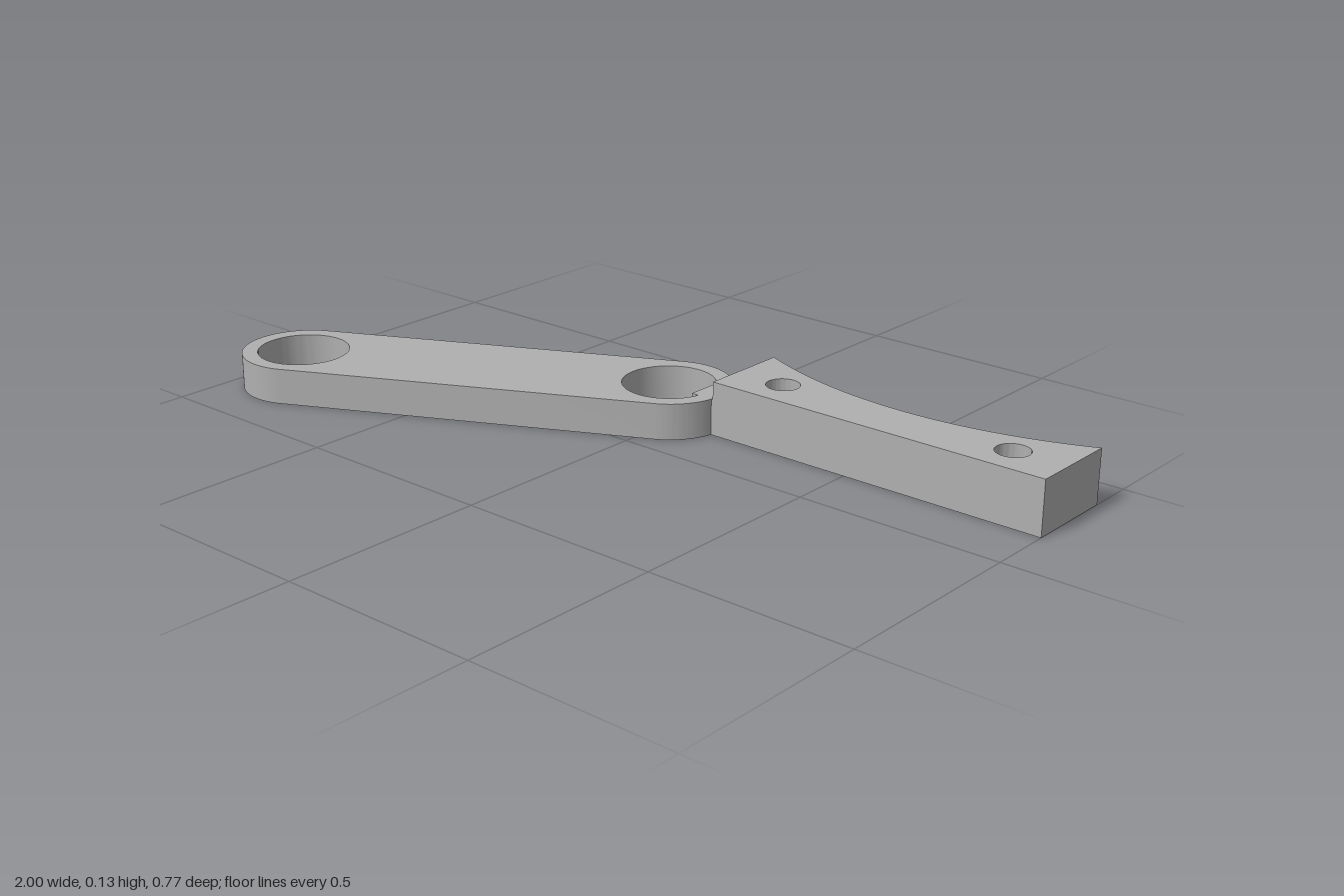
import * as THREE from 'three';
import { toCreasedNormals } from 'three/addons/utils/BufferGeometryUtils.js';

// Outlines are drawn in plan: shape x = model x, shape y = -z (towards the back).
function plate(name, shape, height, material) {
  const geometry = new THREE.ExtrudeGeometry(shape, { depth: height, bevelEnabled: false, curveSegments: 40 });
  geometry.rotateX(-Math.PI / 2);
  const mesh = new THREE.Mesh(toCreasedNormals(geometry, 0.5), material);
  mesh.name = name;
  return mesh;
}

function addHole(shape, x, y, radius) {
  shape.holes.push(new THREE.Path().absarc(x, y, radius, 0, Math.PI * 2, true));
}

export function createModel() {
  const group = new THREE.Group();
  group.name = 'linkAndBracket';
  const grey = new THREE.MeshStandardMaterial({ color: 0xb0b0b0 });
  grey.name = 'grey';
  const linkHeight = 0.088;

  // Round-ended link arm with a large bore at each end
  const a = new THREE.Vector2(-0.85, -0.236);
  const b = new THREE.Vector2(-0.025, 0.182);
  const angle = Math.atan2(b.y - a.y, b.x - a.x);
  const link = new THREE.Shape();
  link.absarc(b.x, b.y, 0.15, angle - Math.PI / 2, angle + Math.PI / 2, false);
  link.absarc(a.x, a.y, 0.15, angle + Math.PI / 2, angle + Math.PI * 1.5, false);
  link.closePath();
  for (const end of [a, b]) addHole(link, end.x, end.y, 0.112);
  group.add(plate('linkArm', link, linkHeight, grey));

  // Thicker bracket with a concave back and two bolt holes
  const left = 0.127, right = 1, front = 0.158, back = 0.387, sag = 0.097;
  const half = (right - left) / 2;
  const radius = (half * half + sag * sag) / (2 * sag);
  const sweep = Math.asin(half / radius);
  const bracket = new THREE.Shape();
  bracket.moveTo(left, front);
  bracket.lineTo(right, front);
  bracket.lineTo(right, back);
  bracket.absarc(left + half, back - sag + radius, radius, -Math.PI / 2 + sweep, -Math.PI / 2 - sweep, true);
  bracket.closePath();
  for (const x of [0.259, 0.867]) addHole(bracket, x, 0.25, 0.04);
  group.add(plate('curvedBracket', bracket, 0.131, grey));

  // Tab joining the bracket to the link
  const tab = new THREE.Mesh(new THREE.BoxGeometry(0.105, linkHeight, back - front), grey);
  tab.position.set(0.1175, linkHeight / 2, -(back + front) / 2);
  tab.name = 'joiningTab';
  group.add(tab);

  return group;
}
